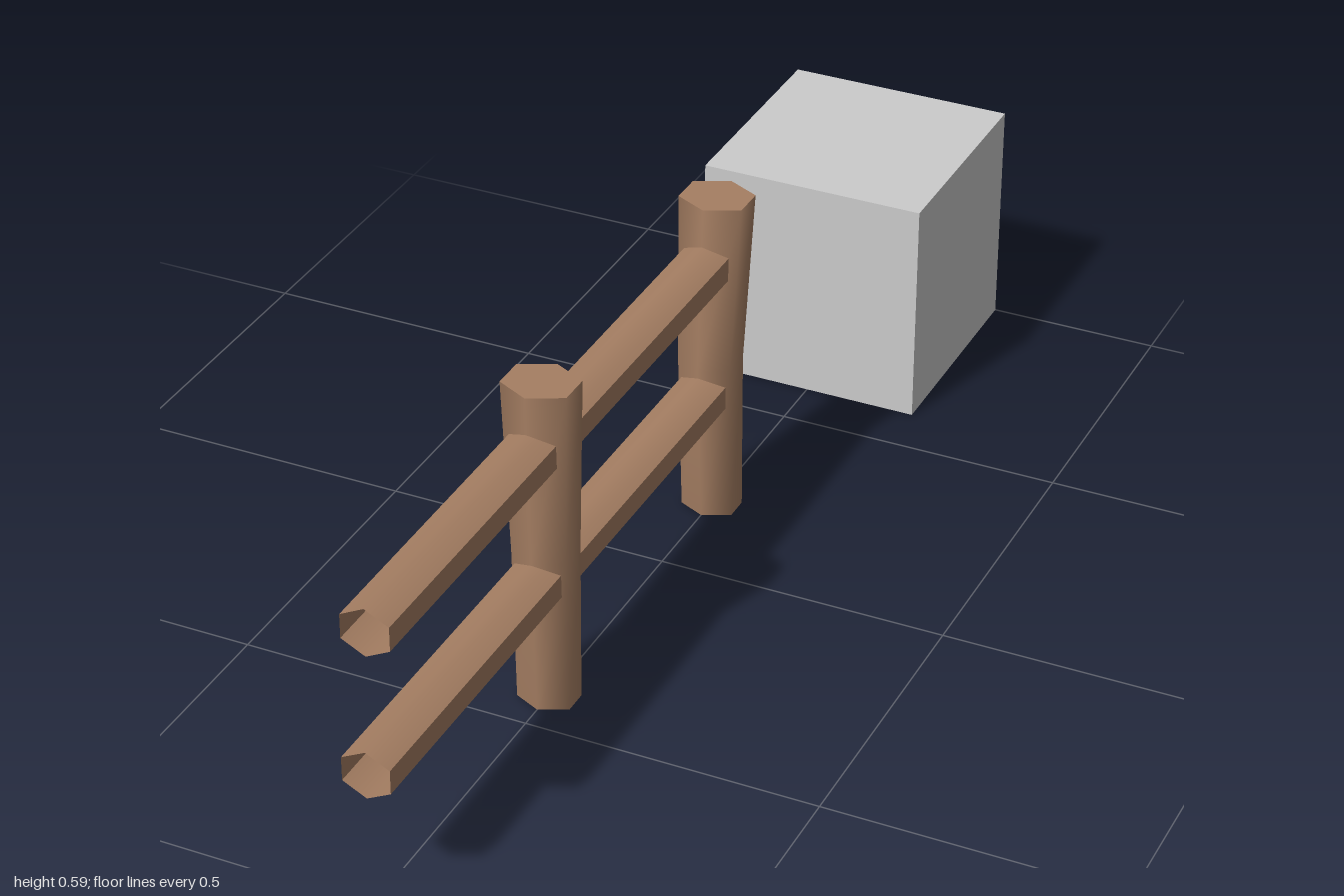
import * as THREE from 'three';
import { mergeVertices, toCreasedNormals } from 'three/addons/utils/BufferGeometryUtils.js';

const HEX = Math.sqrt(3) / 2;

// Move every vertex of a geometry by a rule
function reshape(geometry, rule) {
  const p = geometry.attributes.position;
  const v = new THREE.Vector3();
  for (let i = 0; i < p.count; i++) {
    v.fromBufferAttribute(p, i);
    rule(v);
    p.setXYZ(i, v.x, v.y, v.z);
  }
  return geometry;
}

// Share vertices again so normals run smoothly round the seam
function smooth(geometry) {
  geometry.deleteAttribute('normal');
  geometry.deleteAttribute('uv');
  const merged = mergeVertices(geometry, 1e-5);
  merged.computeVertexNormals();
  return merged;
}

export function createModel() {
  const wood = new THREE.MeshStandardMaterial({ color: 0xa67f63, side: THREE.DoubleSide });
  wood.name = 'brown wood';
  const grey = new THREE.MeshStandardMaterial({ color: 0xcccccc });
  grey.name = 'light grey';

  const model = new THREE.Group();
  model.name = 'fence';
  const add = (name, geometry, material, parent = model) => {
    const mesh = new THREE.Mesh(geometry, material);
    mesh.name = name;
    parent.add(mesh);
    return mesh;
  };

  // Hexagonal post, open below; rings run bottom to top as [y, half x, half z, centre z]
  function addPost(name, rings) {
    const post = new THREE.Group();
    post.name = name;
    model.add(post);
    const place = (v, [y, hx, hz, z]) => v.set(v.x / HEX * hx, y, v.z * hz + z);
    const shaft = new THREE.CylinderGeometry(1, 1, 2, 6, 2, true);
    reshape(shaft, v => place(v, rings[Math.round(v.y) + 1]));
    add(name + 'Shaft', smooth(shaft), wood, post);
    const cap = new THREE.CircleGeometry(1, 6, Math.PI / 2).rotateX(-Math.PI / 2);
    add(name + 'Cap', reshape(cap, v => place(v, rings[2])), wood, post);
  }
  addPost('frontPost', [
    [0, 0.046, 0.043, 0.417], [0.28, 0.047, 0.051, 0.42], [0.586, 0.056, 0.055, 0.426]]);
  addPost('backPost', [
    [0, 0.046, 0.043, -0.197], [0.29, 0.047, 0.052, -0.188], [0.586, 0.056, 0.055, -0.209]]);

  // Hollow rails with upright sides and a soft ridge above and below
  function addRail(name, y, front, back) {
    const rail = new THREE.CylinderGeometry(1, 1, 1, 6, 1, true).rotateX(Math.PI / 2);
    reshape(rail, v => v.set(
      v.x / HEX * 0.04, y + v.y * 0.041, v.z > 0 ? front : back));
    add(name, toCreasedNormals(rail, THREE.MathUtils.degToRad(58)), wood);
  }
  addRail('upperRail', 0.479, 0.985, -0.2);
  addRail('lowerRail', 0.238, 1, -0.2);

  // Plain block behind the fence
  add('block', new THREE.BoxGeometry(0.4, 0.403, 0.4), grey).position.set(0, 0.2015, -0.8);

  return model;
}
